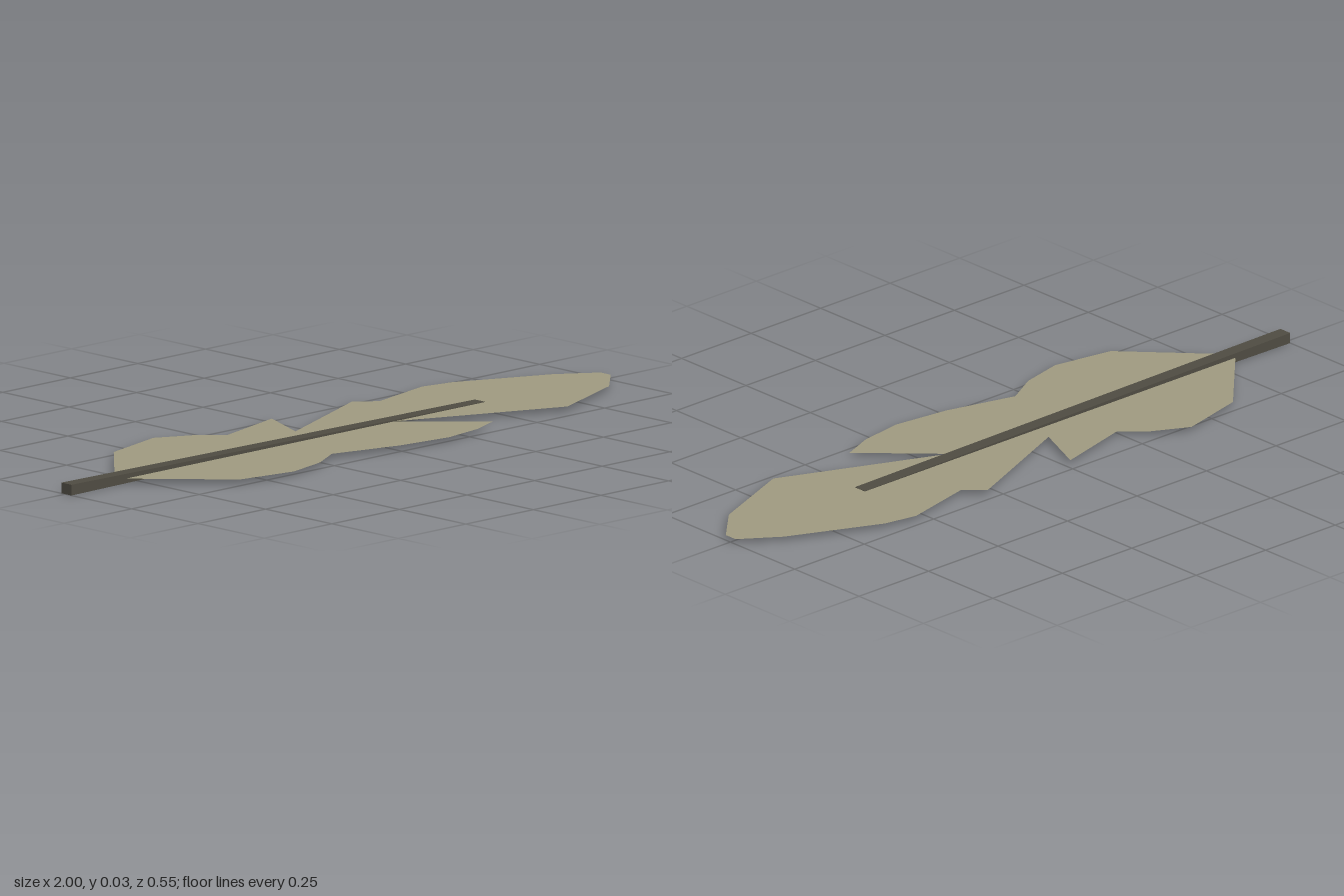
import * as THREE from 'three';

const MID = 0.0145; // height of the vane plane

export function createModel() {
  const group = new THREE.Group();
  group.name = 'feather';

  // Flat vane with notched edges, outline as [x, z]
  const outline = [
    [-0.80, -0.018], [-0.595, -0.23], [-0.40, -0.28], [-0.30, -0.228], [-0.235, -0.168],
    [-0.012, -0.228], [-0.077, -0.073], [0.285, -0.228], [0.338, -0.18], [0.543, -0.228],
    [0.638, -0.21], [0.895, -0.094], [1, -0.02], [1, 0.018], [0.9, 0.114], [0.648, 0.214],
    [0.195, 0.022], [0.382, 0.205], [0.29, 0.242], [0.163, 0.262], [0, 0.242],
    [-0.2, 0.189], [-0.295, 0.242], [-0.42, 0.272], [-0.592, 0.242], [-0.80, 0.022],
  ];
  const shape = new THREE.Shape(outline.map(([x, z]) => new THREE.Vector2(x, -z)));
  const vane = new THREE.Mesh(
    new THREE.ShapeGeometry(shape).rotateX(-Math.PI / 2),
    new THREE.MeshStandardMaterial({ color: 0x9f9a80, side: THREE.DoubleSide, flatShading: true })
  );
  vane.name = 'vane';
  vane.position.y = MID;
  group.add(vane);

  // Square shaft, thinning in height toward the tip
  const length = 1.53, height = 0.029;
  const geo = new THREE.BoxGeometry(length, height, 0.038);
  const pos = geo.attributes.position;
  for (let i = 0; i < pos.count; i++) {
    if (pos.getX(i) > 0) pos.setY(i, Math.sign(pos.getY(i)) * 0.001);
  }
  geo.computeVertexNormals();
  const shaft = new THREE.Mesh(
    geo,
    new THREE.MeshStandardMaterial({ color: 0x4f4c42, flatShading: true })
  );
  shaft.name = 'shaft';
  shaft.position.set(-1 + length / 2, MID, 0.004);
  group.add(shaft);

  return group;
}
